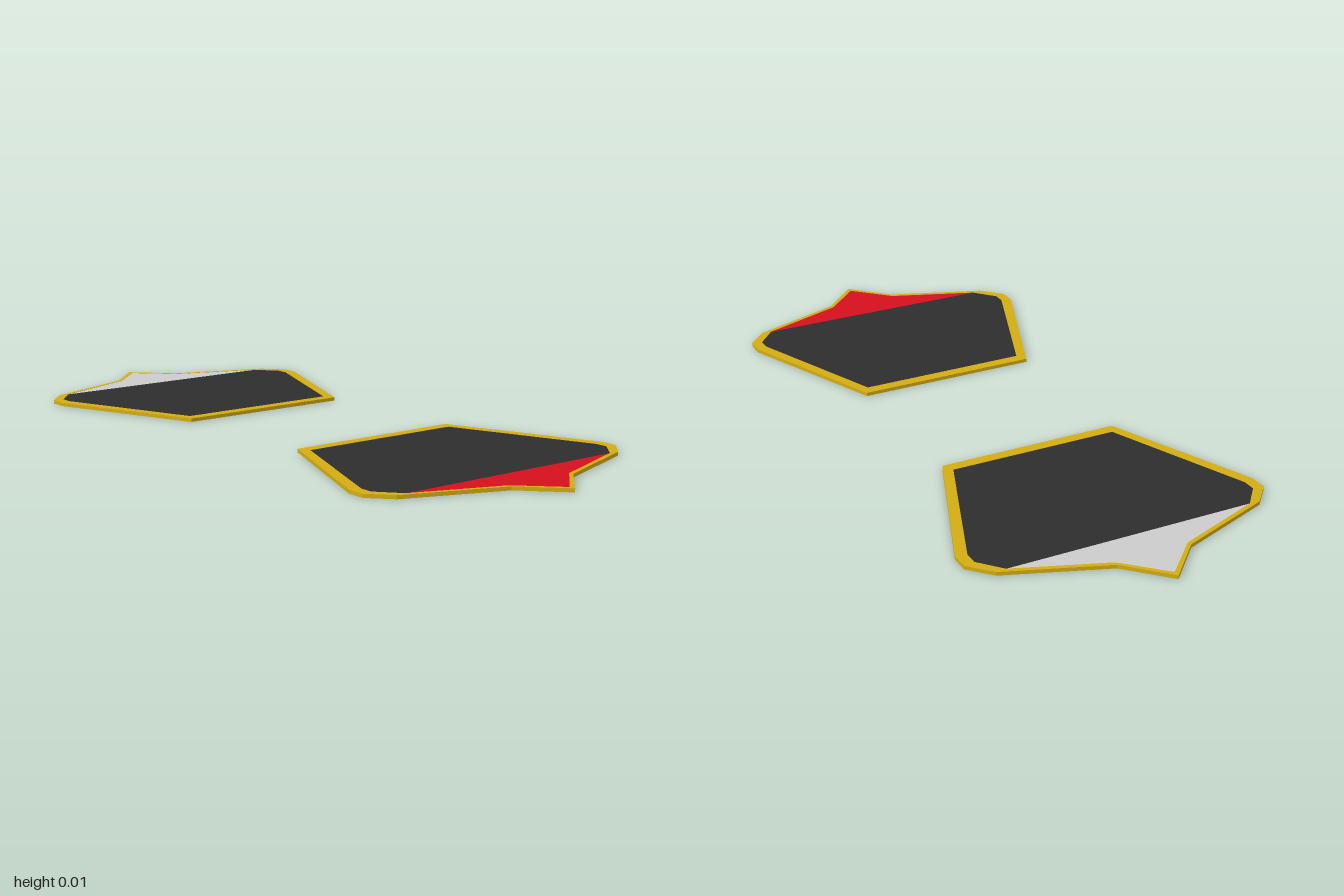
import * as THREE from 'three';

// Half outlines as [x, z], from the straight inner edge out to the point
const OUTER = [[0.26, 0.25], [0.433, 0.68], [0.433, 0.73], [0.378, 0.79], [0.105, 0.892], [0, 1]];
const FIELD = [[0.243, 0.282], [0.403, 0.688], [0.403, 0.725], [0.35, 0.787]];
const TIP = [[0.35, 0.787], [0.103, 0.88], [0, 0.982]];

const mirrored = (half) => [
  ...half,
  ...half.filter(([x]) => x > 0).reverse().map(([x, z]) => [-x, z]),
].map(([x, z]) => new THREE.Vector2(x, z));

// Flat slab lying between two heights, with an optional opening
function slab(name, half, bottom, top, color, holeHalf) {
  const shape = new THREE.Shape(mirrored(half));
  if (holeHalf) shape.holes.push(new THREE.Path(mirrored(holeHalf)));
  const geometry = new THREE.ExtrudeGeometry(shape, { depth: top - bottom, bevelEnabled: false });
  geometry.rotateX(Math.PI / 2);
  geometry.translate(0, top, 0);
  const mesh = new THREE.Mesh(geometry, new THREE.MeshStandardMaterial({ color }));
  mesh.name = name;
  return mesh;
}

function createBadge(name, tipColor) {
  const gold = 0xd4ad12;
  const badge = new THREE.Group();
  badge.name = name;
  badge.add(
    slab('backingPlate', OUTER, 0, 0.005, gold),
    slab('rim', OUTER, 0.005, 0.01, gold, [...FIELD, ...TIP.slice(1)]),
    slab('darkField', FIELD, 0.005, 0.0095, 0x2d2d2d),
    slab('tipPanel', TIP, 0.005, 0.0095, tipColor),
  );
  return badge;
}

export function createModel() {
  const model = new THREE.Group();
  model.name = 'badgePair';
  const front = createBadge('frontBadge', 0xd4101c);
  const back = createBadge('backBadge', 0xcccccc);
  back.rotation.y = Math.PI; // points the opposite way
  model.add(front, back);
  return model;
}
